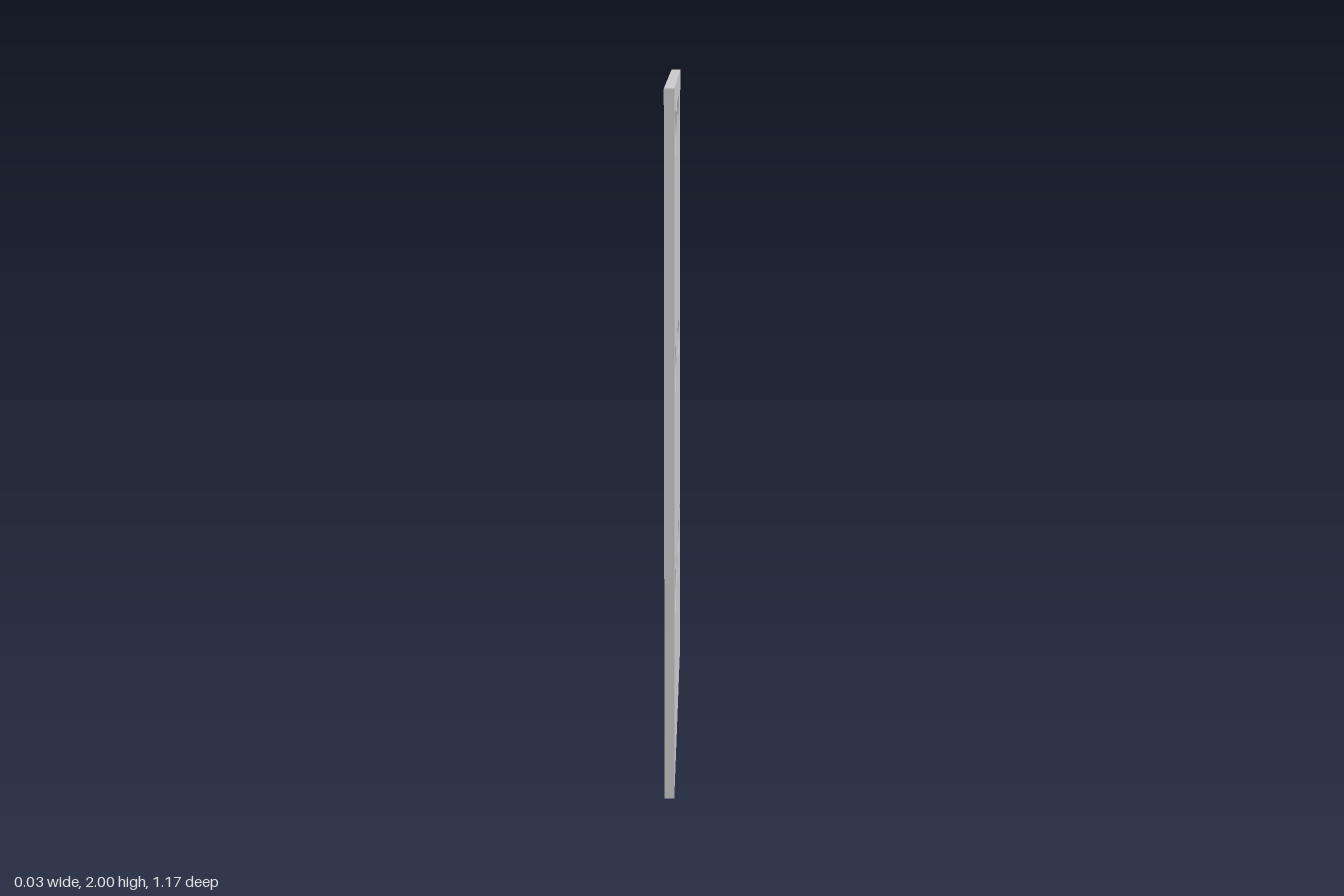
import * as THREE from 'three';

const WIDTH = 1.174, HEIGHT = 2, THICK = 0.028, R = 0.07;
const ROWS = [0.535, 1.203, 1.87];

// Each hole: position across the panel, and the arc (degrees) that a thin
// plate covers on the +x face (right) and on the -x face (left).
const HOLES = [
  { u: -0.318, left: [-60, 0], right: [167, 310] },
  { u: -0.082, left: [-145, 60], right: [180, 292] },
  { u: 0.206, left: [-127, 9], right: [149, 287] },
  { u: 0.466, left: [-201, 88], right: null },
];

export function createModel() {
  const group = new THREE.Group();
  const material = new THREE.MeshStandardMaterial({ color: 0xcccccc, side: THREE.DoubleSide });

  const add = (name, geometry) => {
    geometry.rotateY(Math.PI / 2); // drawn facing +z, turned to face +x
    const mesh = new THREE.Mesh(geometry, material);
    mesh.name = name;
    group.add(mesh);
  };

  // Upright panel with rows of round holes
  const outline = new THREE.Shape([
    new THREE.Vector2(-WIDTH / 2, 0),
    new THREE.Vector2(WIDTH / 2, 0),
    new THREE.Vector2(WIDTH / 2, HEIGHT),
    new THREE.Vector2(-WIDTH / 2, HEIGHT),
  ]);
  for (const y of ROWS) {
    for (const { u } of HOLES) {
      outline.holes.push(new THREE.Path().absarc(u, y, R, 0, Math.PI * 2, true));
    }
  }
  const panel = new THREE.ExtrudeGeometry(outline, { depth: THICK, bevelEnabled: false, curveSegments: 24 });
  add('panel', panel.translate(0, 0, -THICK / 2));

  // Flat circle segments, flush with a face, closing part of a hole
  const addCover = (name, u, y, depth, arc) => {
    const [start, end] = arc.map(THREE.MathUtils.degToRad);
    const segment = new THREE.Shape().absarc(u, y, R, start, end, false);
    add(name, new THREE.ShapeGeometry(segment, 24).translate(0, 0, depth));
  };
  for (const y of ROWS) {
    for (const { u, left, right } of HOLES) {
      addCover('leftHoleCover', u, y, THICK / 2, left);
      if (right) addCover('rightHoleCover', u, y, -THICK / 2, right);
    }
  }
  return group;
}
